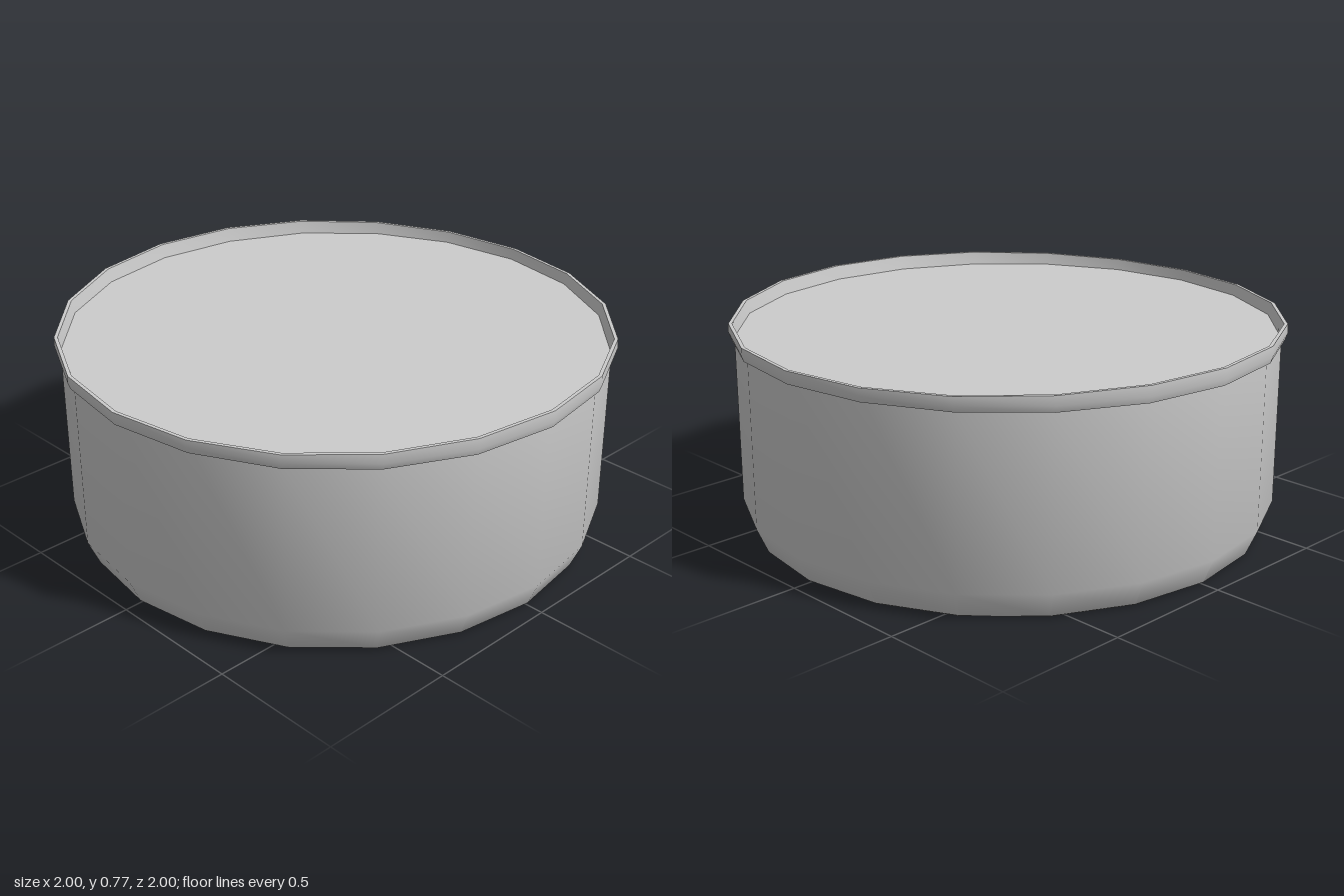
import * as THREE from 'three';
import { toCreasedNormals } from 'three/addons/utils/BufferGeometryUtils.js';

const SIDES = 20;
const material = new THREE.MeshStandardMaterial({ color: 0xcccccc });

// Twenty-sided turned shape from [radius, height] pairs
function turned(profile) {
  return new THREE.LatheGeometry(profile.map(([r, y]) => new THREE.Vector2(r, y)), SIDES);
}

function part(name, geometry) {
  const mesh = new THREE.Mesh(toCreasedNormals(geometry, 0.6), material);
  mesh.name = name;
  return mesh;
}

export function createModel() {
  const group = new THREE.Group();
  group.name = 'roundTin';

  // Body: flat base, tapered foot, straight wall
  group.add(part('body', turned([
    [0, 0], [0.925, 0], [0.937, 0.008], [0.977, 0.1], [0.977, 0.72],
  ])));

  // Flat top sunk just below the lip
  const lid = new THREE.CircleGeometry(0.977, SIDES);
  lid.rotateX(-Math.PI / 2).translate(0, 0.72, 0);
  group.add(part('top', lid));

  // Lip: thin raised ring, slightly higher at the left and right
  const rim = turned([
    [0.97, 0.712], [0.99, 0.712], [0.998, 0.735], [0.996, 0.766], [0.983, 0.766], [0.973, 0.72],
  ]);
  const p = rim.attributes.position;
  for (let i = 0; i < p.count; i++) {
    const x = p.getX(i), z = p.getZ(i);
    if (p.getY(i) > 0.75) p.setY(i, p.getY(i) + 0.007 * (x * x - z * z));
  }
  group.add(part('rim', rim));

  return group;
}
